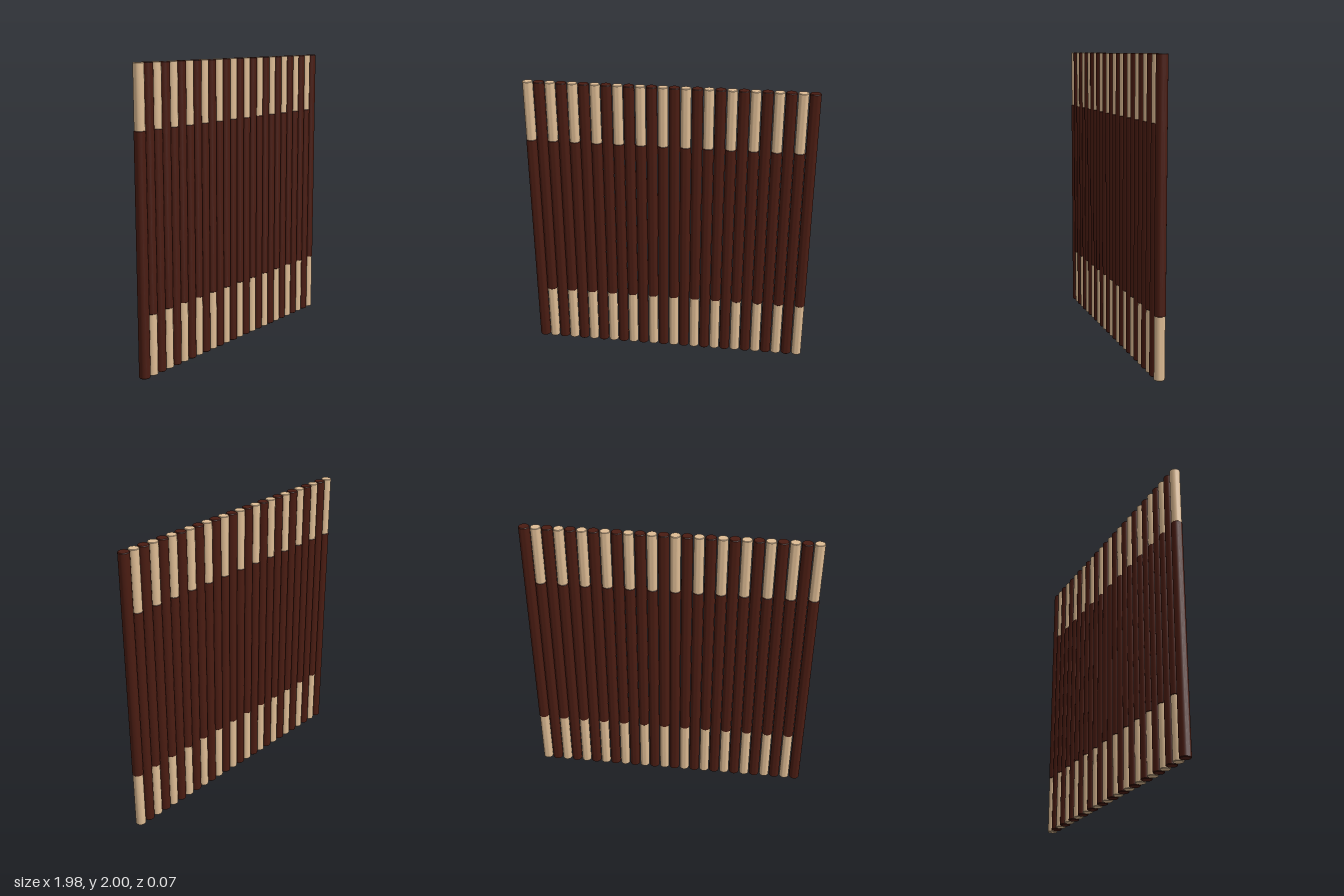
import * as THREE from 'three';
import { toCreasedNormals } from 'three/addons/utils/BufferGeometryUtils.js';

const COUNT = 26, SPACING = 0.0761, HEIGHT = 2;
const SLEEVE_LENGTH = 1.59, SLEEVE_RADIUS = 0.037, CORE_RADIUS = 0.0345;

// Closed round bar from y0 to y1 with small bevels at both ends
function bar(radius, y0, y1, bevel) {
  const profile = [
    [0, y0], [radius - bevel, y0], [radius, y0 + bevel],
    [radius, y1 - bevel], [radius - bevel, y1], [0, y1],
  ].map(([x, y]) => new THREE.Vector2(x, y));
  return toCreasedNormals(new THREE.LatheGeometry(profile, 24), 0.6);
}

export function createModel() {
  const model = new THREE.Group();
  model.name = 'rodPanel';
  const darkWood = new THREE.MeshStandardMaterial({ color: 0x4a1c12 });
  const paleWood = new THREE.MeshStandardMaterial({ color: 0xdebc94 });

  // Long dark sleeve with a pale tip emerging from its upper end
  const sleeve = bar(SLEEVE_RADIUS, 0, SLEEVE_LENGTH, 0.004);
  const tip = bar(CORE_RADIUS, SLEEVE_LENGTH - 0.03, HEIGHT, 0.003);

  // Row of rods, every second one turned upside down
  for (let i = 0; i < COUNT; i++) {
    const rod = new THREE.Group();
    rod.name = `rod${i + 1}`;
    const darkSleeve = new THREE.Mesh(sleeve, darkWood);
    darkSleeve.name = 'darkSleeve';
    const paleTip = new THREE.Mesh(tip, paleWood);
    paleTip.name = 'paleTip';
    rod.add(darkSleeve, paleTip);
    rod.position.x = (i - (COUNT - 1) / 2) * SPACING;
    if (i % 2) {
      rod.rotation.x = Math.PI;
      rod.position.y = HEIGHT;
    }
    model.add(rod);
  }
  return model;
}
